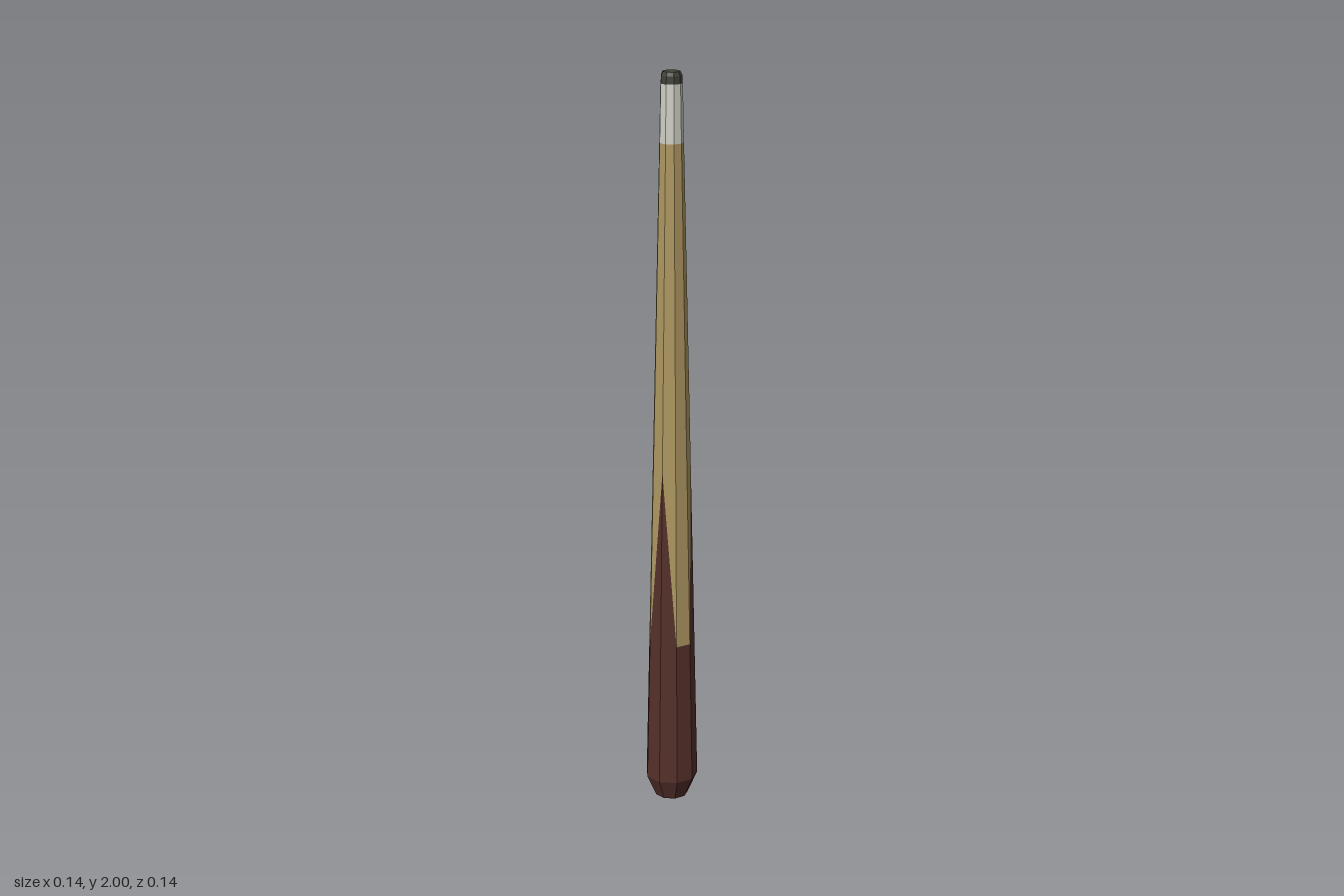
import * as THREE from 'three';

const SIDES = 9;

// Radius of the straight taper from butt to ferrule
const taper = y => THREE.MathUtils.mapLinear(y, 0.06, 1.82, 0.0715, 0.032);

// Ring of points; height and radius may vary from corner to corner
function ring(heightAt, radiusAt) {
  return Array.from({ length: SIDES }, (_, k) => {
    const a = (k / SIDES) * Math.PI * 2;
    const y = heightAt(k);
    const r = radiusAt(y);
    return [r * Math.cos(a), y, r * Math.sin(a)];
  });
}
const flatRing = (y, r) => ring(() => y, () => r);

// Faceted skin through a stack of rings, with optional end caps
function skin(name, rings, material, { bottom = false, top = false } = {}) {
  const pos = [];
  const tri = (a, b, c) => pos.push(...a, ...b, ...c);
  for (let i = 0; i < rings.length - 1; i++) {
    const lo = rings[i], hi = rings[i + 1];
    for (let k = 0; k < SIDES; k++) {
      const n = (k + 1) % SIDES;
      tri(lo[k], hi[k], lo[n]);
      tri(lo[n], hi[k], hi[n]);
    }
  }
  const first = rings[0], last = rings[rings.length - 1];
  for (let k = 0; k < SIDES; k++) {
    const n = (k + 1) % SIDES;
    if (bottom) tri([0, first[0][1], 0], first[k], first[n]);
    if (top) tri([0, last[0][1], 0], last[n], last[k]);
  }
  const geometry = new THREE.BufferGeometry();
  geometry.setAttribute('position', new THREE.Float32BufferAttribute(pos, 3));
  geometry.computeVertexNormals();
  const mesh = new THREE.Mesh(geometry, material);
  mesh.name = name;
  return mesh;
}

function paint(name, color) {
  const material = new THREE.MeshStandardMaterial({ color });
  material.name = name;
  return material;
}

export function createModel() {
  const darkWood = paint('dark wood', 0x55302a);
  const paleWood = paint('pale wood', 0xae9760);
  const white = paint('ferrule white', 0xcfcfc6);
  const leather = paint('tip leather', 0x42423c);

  // Three dark points rise into the pale shaft, one on every third corner
  const splice = ring(k => (k % 3 === 1 ? 0.95 : 0.46), taper);
  const collar = flatRing(1.82, taper(1.82));
  const ferruleTop = flatRing(1.97, 0.029);

  const cue = new THREE.Group();
  cue.name = 'cue';
  cue.add(
    skin('butt', [flatRing(0, 0.045), flatRing(0.06, taper(0.06)), splice], darkWood, { bottom: true }),
    skin('shaft', [splice, collar], paleWood),
    skin('ferrule', [collar, ferruleTop], white, { top: true }),
    skin('tip', [flatRing(1.97, 0.028), flatRing(1.99, 0.0275), flatRing(2, 0.023)], leather, { top: true }),
  );
  return cue;
}
